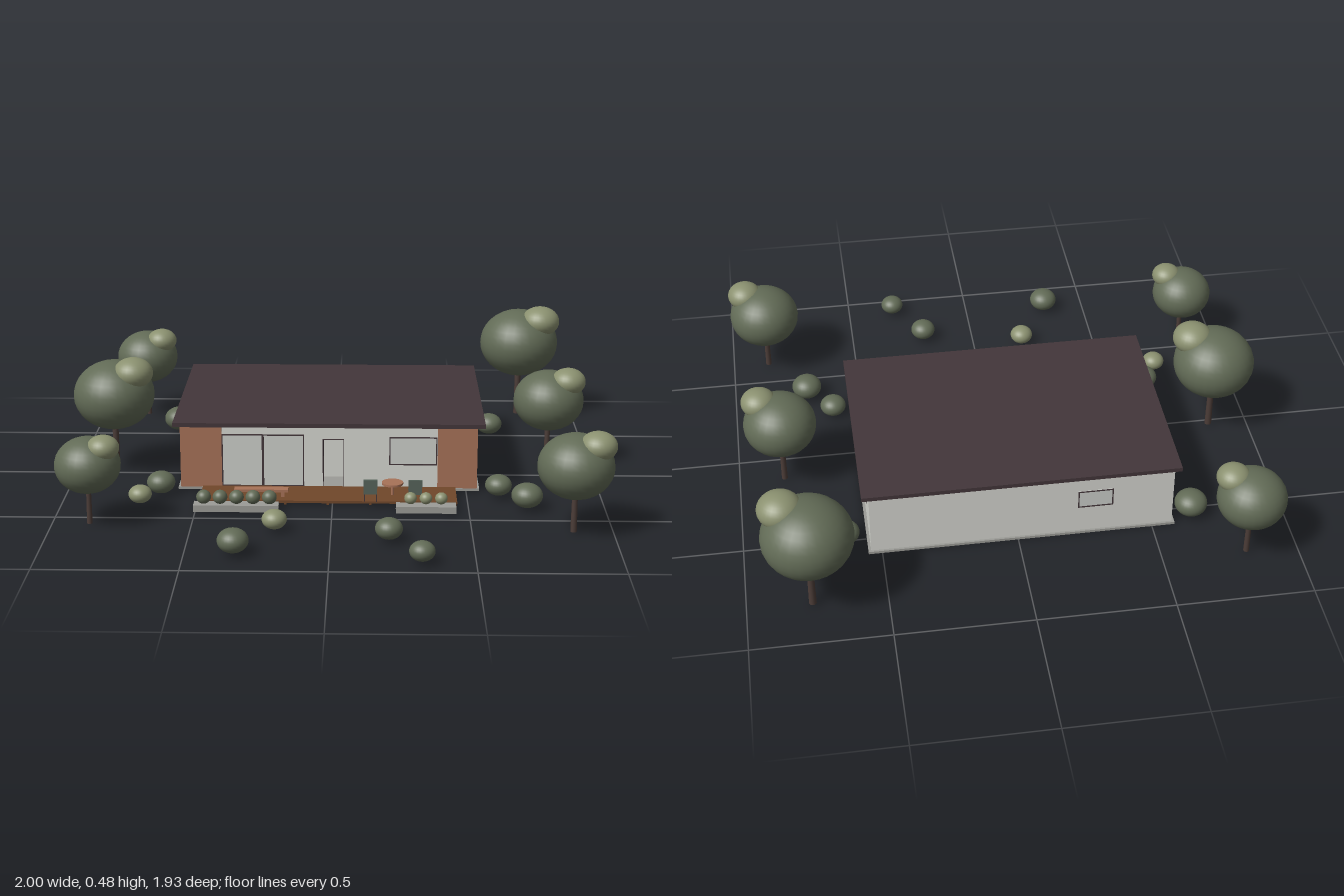
import * as THREE from 'three';

const mat = (name, color, extra = {}) => Object.assign(new THREE.MeshStandardMaterial({ color, ...extra }), { name });

export function createModel() {
  const root = new THREE.Group();
  root.name = 'bungalowGarden';
  const M = {
    wall: mat('wall plaster', 0xd6d7d1),
    glass: mat('pale glass', 0xcdd0cb),
    dark: mat('dark roof and frames', 0x43363a),
    clay: mat('terracotta', 0xa87258),
    deck: mat('deck timber', 0x70472a),
    stone: mat('grey concrete', 0x9c9c97),
    trunk: mat('bark', 0x4b3c37),
    leaf: mat('leaf green', 0x626b56),
    light: mat('light leaf green', 0x8b9170),
    chair: mat('chair green', 0x55635a),
  };

  const add = (name, geo, m, x, y, z, parent = root) => {
    const o = new THREE.Mesh(geo, m);
    o.name = name;
    o.position.set(x, y, z);
    parent.add(o);
    return o;
  };
  // Box given by its limits on each axis
  const box = (name, m, [x0, x1], [y0, y1], [z0, z1], parent = root) =>
    add(name, new THREE.BoxGeometry(x1 - x0, y1 - y0, z1 - z0), m,
      (x0 + x1) / 2, (y0 + y1) / 2, (z0 + z1) / 2, parent);
  const ball = (name, m, x, y, z, r, flat, parent = root) => {
    const o = add(name, new THREE.SphereGeometry(r, 28, 18), m, x, y, z, parent);
    o.scale.y = flat;
    return o;
  };
  const group = (name, x = 0, y = 0, z = 0) => {
    const g = new THREE.Group();
    g.name = name;
    g.position.set(x, y, z);
    root.add(g);
    return g;
  };

  // House body: floor plan with a recessed entrance, pushed up to the roof
  const plan = new THREE.Shape([
    [-0.575, -0.18], [-0.04, -0.18], [-0.04, -0.06], [0.04, -0.06],
    [0.04, -0.18], [0.54, -0.18], [0.54, 0.575], [-0.575, 0.575],
  ].map(p => new THREE.Vector2(...p)));
  const body = new THREE.ExtrudeGeometry(plan, { depth: 0.25, bevelEnabled: false });
  body.rotateX(-Math.PI / 2);
  add('houseWalls', body, M.wall, 0, 0.01, 0);
  box('doorLintel', M.wall, [-0.04, 0.04], [0.2, 0.26], [0.06, 0.18]);
  for (const s of [-1, 1]) {
    box('doorReveal', M.dark, [s * 0.039 - 0.001, s * 0.039 + 0.001], [0.01, 0.2], [0.06, 0.181]);
  }
  box('doorHead', M.dark, [-0.04, 0.04], [0.197, 0.2], [0.176, 0.182]);
  box('foundation', M.stone, [-0.585, 0.55], [0, 0.01], [-0.583, 0.188]);
  box('roof', M.dark, [-0.598, 0.566], [0.26, 0.276], [-0.59, 0.233]);
  box('clayPanelLeft', M.clay, [-0.576, -0.42], [0.01, 0.26], [0.178, 0.184]);
  box('clayPanelRight', M.clay, [0.392, 0.541], [0.01, 0.26], [0.178, 0.184]);

  // Framed window on the wall plane, turned to face outward
  const windowOn = (name, x, y, z, w, h, turn, mullion = false) => {
    const g = group(name, x, y, z);
    g.rotation.y = turn;
    const t = 0.0045, d = [-0.002, 0.004];
    box('pane', M.glass, [-w / 2, w / 2], [-h / 2, h / 2], [-0.002, 0.002], g);
    for (const s of [-1, 1]) {
      const a = s * (w - t) / 2, b = s * (h - t) / 2;
      box('frameSide', M.dark, [a - t / 2, a + t / 2], [-h / 2, h / 2], d, g);
      box('frameRail', M.dark, [-w / 2, w / 2], [b - t / 2, b + t / 2], d, g);
    }
    if (mullion) box('mullion', M.dark, [-0.004, 0.004], [-h / 2, h / 2], d, g);
  };
  const q = Math.PI / 2;
  windowOn('slidingDoors', -0.265, 0.115, 0.18, 0.31, 0.205, 0, true);
  windowOn('frontWindow', 0.3, 0.155, 0.18, 0.18, 0.11, 0);
  windowOn('sideWindow', 0.54, 0.155, -0.067, 0.138, 0.11, q);
  windowOn('smallWindow', 0.54, 0.178, -0.457, 0.046, 0.046, q);
  windowOn('sideWindow', -0.575, 0.155, -0.11, 0.138, 0.11, -q);
  windowOn('backWindow', -0.285, 0.16, -0.575, 0.13, 0.075, 2 * q);

  // Deck on joists
  box('deck', M.deck, [-0.492, 0.46], [0.007, 0.016], [0.188, 0.352]);
  for (let i = 0; i < 7; i++) {
    const x = -0.488 + i * 0.157;
    box('deckJoist', M.deck, [x - 0.004, x + 0.004], [0.001, 0.007], [0.188, 0.352]);
  }

  // Bench, round table and two chairs
  box('benchSeat', M.clay, [-0.365, -0.165], [0.036, 0.046], [0.283, 0.317]);
  for (const x of [-0.345, -0.185]) box('benchLeg', M.clay, [x - 0.006, x + 0.006], [0.016, 0.036], [0.287, 0.313]);
  add('tableTop', new THREE.CylinderGeometry(0.04, 0.04, 0.008, 28), M.clay, 0.222, 0.062, 0.278);
  add('tableLeg', new THREE.CylinderGeometry(0.006, 0.006, 0.044, 12), M.clay, 0.222, 0.038, 0.278);
  for (const x of [0.14, 0.305]) {
    const g = group('chair', x, 0, 0.332);
    box('seat', M.chair, [-0.025, 0.025], [0.045, 0.054], [-0.027, 0.027], g);
    box('backrest', M.chair, [-0.025, 0.025], [0.045, 0.1], [0.019, 0.027], g);
    for (const lx of [-0.022, 0.022]) for (const lz of [-0.023, 0.023]) {
      box('chairLeg', M.dark, [lx - 0.002, lx + 0.002], [0.016, 0.045], [lz - 0.002, lz + 0.002], g);
    }
  }

  // Planters with clipped balls
  const planter = (x0, x1, first, step, count, r, m) => {
    box('planter', M.stone, [x0, x1], [0.006, 0.031], [0.401, 0.451]);
    for (let i = 0; i < count; i++) ball('planterBall', m, first + i * step, 0.056, 0.425, r, 0.95);
  };
  planter(-0.505, -0.195, -0.468, 0.06, 5, 0.027, M.leaf);
  planter(0.233, 0.452, 0.286, 0.056, 3, 0.023, M.light);

  // Trees: x, crown height, z, crown radius
  for (const [x, y, z, r] of [
    [-0.81, 0.26, -0.765, 0.126], [0.767, 0.32, -0.807, 0.163],
    [-0.848, 0.31, -0.025, 0.155], [0.83, 0.27, -0.117, 0.136],
    [-0.863, 0.226, 0.572, 0.118], [0.858, 0.25, 0.62, 0.136],
  ]) {
    const g = group('tree', x, 0, z);
    add('trunk', new THREE.CylinderGeometry(r * 0.065, r * 0.085, y - 0.006, 14), M.trunk, 0, (y + 0.006) / 2, 0, g);
    ball('crown', M.leaf, 0, y, 0, r, 0.86, g);
    ball('crownTuft', M.light, r * 0.52, y + r * 0.62, r * 0.24, r * 0.49, 0.78, g);
  }

  // Bushes: x, z, radius, light or not
  for (const [x, z, r, pale] of [
    [-0.655, -0.535, 0.061], [0.628, -0.507, 0.053], [-0.643, 0.25, 0.053],
    [-0.708, 0.362, 0.043, 1], [0.617, 0.25, 0.05], [0.713, 0.38, 0.058],
    [-0.2, 0.62, 0.045, 1], [-0.33, 0.85, 0.055], [0.205, 0.712, 0.049], [0.316, 0.915, 0.045],
  ]) ball('bush', pale ? M.light : M.leaf, x, 0.009 + r * 0.78, z, r, 0.78);

  return root;
}
